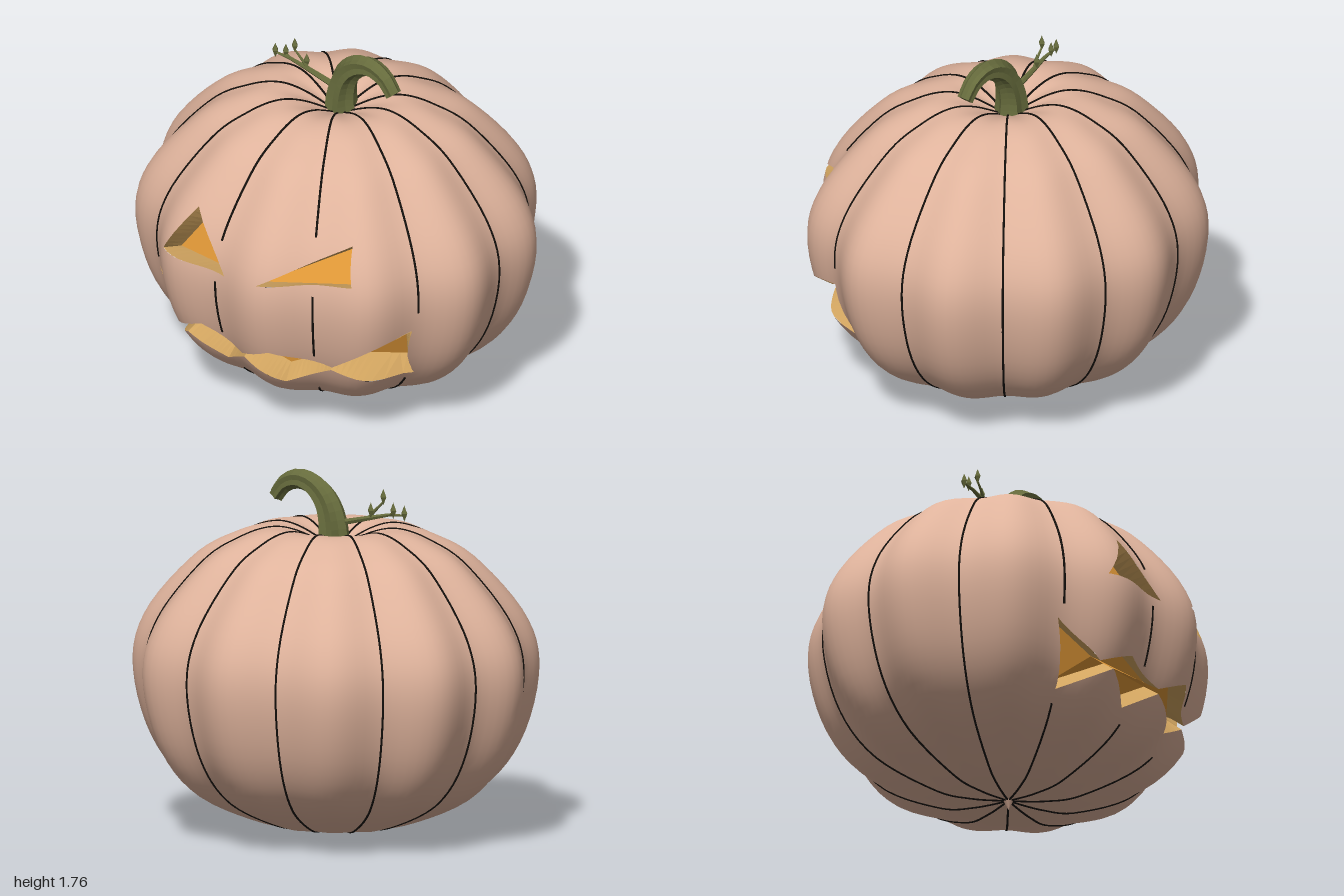
import * as THREE from 'three';

const LOBES = 11, TAU = Math.PI * 2, Z0 = 0.017;
const V = (x, y, z) => new THREE.Vector3(x, y, z);

// Body outline, bottom to top: radius, height
const profile = new THREE.SplineCurve([
  [0.004, 0.05], [0.2, 0.043], [0.4, 0.07], [0.73, 0.22], [0.925, 0.46], [1.01, 0.8], [0.94, 1.06],
  [0.7, 1.335], [0.5, 1.45], [0.34, 1.495], [0.2, 1.475], [0.03, 1.4],
].map(([r, y]) => new THREE.Vector2(r, y)));

// Point on the ribbed skin
function skin(t, a) {
  const p = profile.getPoint(t);
  const r = p.x * (1 - 0.035 * (1 + Math.cos(LOBES * a)));
  return V(r * Math.sin(a), p.y, r * 0.938 * Math.cos(a) + Z0);
}

// Carved openings in front projection
const HOLES = {
  rightEye: [[-0.34, 0.88], [0.06, 0.88], [-0.18, 1.14]],
  leftEye: [[0.28, 0.92], [0.68, 0.96], [0.62, 1.14]],
  mouth: [[-0.415, 0.315], [-0.23, 0.43], [-0.05, 0.315], [0.13, 0.43], [0.305, 0.315], [0.535, 0.44],
    [0.75, 0.36], [0.83, 0.665], [0.545, 0.46], [0.31, 0.535], [0.12, 0.45], [-0.12, 0.53],
    [-0.31, 0.45], [-0.52, 0.63]],
};
const vec2s = pts => pts.map(([x, y]) => new THREE.Vector2(x, y));

function geometry(positions, normals) {
  const g = new THREE.BufferGeometry();
  g.setAttribute('position', new THREE.Float32BufferAttribute(positions, 3));
  if (normals) g.setAttribute('normal', new THREE.Float32BufferAttribute(normals, 3));
  else g.computeVertexNormals();
  return g;
}

// Closed grid of the whole skin
function skinGeometry(rows, cols) {
  const pos = [], index = [];
  for (let i = 0; i <= rows; i++) {
    for (let j = 0; j < cols; j++) pos.push(...skin(i / rows, j / cols * TAU).toArray());
  }
  for (let i = 0; i < rows; i++) {
    for (let j = 0; j < cols; j++) {
      const k = (j + 1) % cols;
      const a = i * cols + j, b = i * cols + k, c = a + cols, d = b + cols;
      index.push(a, b, d, a, d, c);
    }
  }
  const g = new THREE.BufferGeometry();
  g.setAttribute('position', new THREE.Float32BufferAttribute(pos, 3));
  g.setIndex(index);
  g.computeVertexNormals();
  return g;
}

// Keep the part of a polygon on one side of a line
function clip(poly, a, b, sign) {
  const dist = p => sign * ((b.x - a.x) * (p[1] - a.y) - (b.y - a.y) * (p[0] - a.x));
  const out = [];
  poly.forEach((p, i) => {
    const q = poly[(i + 1) % poly.length], dp = dist(p), dq = dist(q);
    if (dp >= 0) out.push(p);
    if ((dp > 0 && dq < 0) || (dp < 0 && dq > 0)) {
      const s = dp / (dp - dq);
      out.push(p.map((v, n) => v + (q[n] - v) * s));
    }
  });
  return out.length > 2 ? out : [];
}

// Remove one triangular cutter from a polygon
function subtract(poly, cutter) {
  const pieces = [];
  let rest = poly;
  for (let i = 0; i < 3 && rest.length; i++) {
    const a = cutter[i], b = cutter[(i + 1) % 3];
    const outside = clip(rest, a, b, -1);
    if (outside.length) pieces.push(outside);
    rest = clip(rest, a, b, 1);
  }
  return rest.length ? pieces : [poly];
}

// Skin with the face cut out
function carve(source) {
  const cutters = Object.values(HOLES).flatMap(h => {
    const pts = vec2s(h);
    return THREE.ShapeUtils.triangulateShape(pts, []).map(f => {
      const tri = f.map(i => pts[i]);
      return THREE.ShapeUtils.area(tri) < 0 ? tri.reverse() : tri;
    });
  });
  const flat = source.toNonIndexed(), P = flat.attributes.position.array, N = flat.attributes.normal.array;
  const pos = [], nor = [];
  for (let i = 0; i < P.length; i += 9) {
    const tri = [0, 3, 6].map(k => [...P.slice(i + k, i + k + 3), ...N.slice(i + k, i + k + 3)]);
    let polys = [tri];
    if (tri.every(p => p[2] > 0)) {
      for (const c of cutters) polys = polys.flatMap(p => subtract(p, c));
    }
    for (const p of polys) {
      for (let k = 1; k < p.length - 1; k++) {
        for (const v of [p[0], p[k], p[k + 1]]) {
          pos.push(v[0], v[1], v[2]);
          nor.push(v[3], v[4], v[5]);
        }
      }
    }
  }
  return geometry(pos, nor);
}

// Curved, tapering stem with sharp ribs
function stemGeometry() {
  const path = new THREE.CatmullRomCurve3([[0, 1.37], [0, 1.5], [0.035, 1.61], [0.11, 1.685], [0.2, 1.71],
    [0.285, 1.68], [0.34, 1.615]].map(([x, y]) => V(x, y, 0)));
  const rings = [], n = 16, sides = 12, pos = [];
  for (let i = 0; i <= n; i++) {
    const c = path.getPointAt(i / n), t = path.getTangentAt(i / n), side = V(t.y, -t.x, 0);
    const r = 0.04 + 0.05 * Math.pow(1 - i / n, 1.3);
    rings.push(Array.from({ length: sides }, (_, j) => {
      const a = j / sides * TAU, q = r * (j % 2 ? 0.78 : 1);
      return c.clone().addScaledVector(side, q * Math.cos(a)).add(V(0, 0, -q * Math.sin(a)));
    }));
  }
  const add = (...p) => p.forEach(v => pos.push(v.x, v.y, v.z));
  for (let j = 0; j < sides; j++) {
    const k = (j + 1) % sides;
    for (let i = 0; i < n; i++) {
      const a = rings[i][j], b = rings[i][k], c = rings[i + 1][j], d = rings[i + 1][k];
      add(a, b, d, a, d, c);
    }
    add(path.getPoint(1), rings[n][j], rings[n][k]);
  }
  return geometry(pos);
}

export function createModel() {
  const model = new THREE.Group();
  const material = (name, color, extra) => Object.assign(new THREE.MeshStandardMaterial({ color, ...extra }), { name });
  const peach = material('peach skin', 0xdfb39c);
  const black = material('black groove', 0x14100c);
  const green = material('stem green', 0x666b3c, { flatShading: true });
  const flesh = material('cut flesh', 0xd2a560, { side: THREE.DoubleSide });
  const glow = material('orange glow', 0xe39a38, { side: THREE.DoubleSide });
  const add = (name, geo, mat, parent = model) => {
    const m = new THREE.Mesh(geo, mat);
    m.name = name;
    parent.add(m);
    return m;
  };

  // Body and the nub beneath it
  const whole = skinGeometry(56, LOBES * 12);
  add('body', carve(whole), peach);
  const nub = add('bottomNub', new THREE.ConeGeometry(0.03, 0.06, 10), peach);
  nub.rotation.x = Math.PI;
  nub.position.set(0, 0.03, Z0);

  // Walls and glowing backs of the openings
  const target = new THREE.Mesh(whole, new THREE.MeshBasicMaterial({ side: THREE.DoubleSide }));
  const ray = new THREE.Raycaster();
  const onSkin = (x, y) => {
    ray.set(V(x, y, 3), V(0, 0, -1));
    const hit = ray.intersectObject(target)[0];
    return hit ? hit.point : V(x, y, 0.2);
  };
  for (const [name, pts] of Object.entries(HOLES)) {
    const inner = pts.map(([x, y]) => {
      const p = onSkin(x, y);
      return p.clone().addScaledVector(V(p.x, (p.y - 0.78) / 0.53, (p.z - Z0) / 0.89).normalize(), -0.1);
    });
    const walls = [], steps = 10;
    pts.forEach(([x, y], i) => {
      const k = (i + 1) % pts.length;
      const at = s => [onSkin(x + (pts[k][0] - x) * s, y + (pts[k][1] - y) * s), inner[i].clone().lerp(inner[k], s)];
      for (let s = 0; s < steps; s++) {
        const [a, c] = at(s / steps), [b, d] = at((s + 1) / steps);
        for (const v of [a, b, d, a, d, c]) walls.push(v.x, v.y, v.z);
      }
    });
    add(name + 'Walls', geometry(walls), flesh);
    const faces = THREE.ShapeUtils.triangulateShape(vec2s(pts), []);
    add(name + 'Glow', geometry(faces.flat().flatMap(i => inner[i].toArray())), glow);
  }

  // Dark groove lines, broken around the face
  const gaps = { 0: [[0.84, 1.02], [0.28, 0.52]], 1: [[0.9, 1.12], [0.27, 0.52]], 2: [[0.33, 0.74]], 10: [[0.28, 0.69]] };
  for (let k = 0; k < LOBES; k++) {
    let run = [];
    const finish = () => {
      if (run.length > 2) {
        add('grooveLine', new THREE.TubeGeometry(new THREE.CatmullRomCurve3(run), run.length, 0.006, 5), black);
      }
      run = [];
    };
    for (let i = 1; i <= 110; i++) {
      const p = skin(i / 110, k / LOBES * TAU);
      if ((gaps[k] || []).some(([lo, hi]) => p.y > lo && p.y < hi)) finish();
      else run.push(p);
    }
    finish();
  }

  // Stem
  add('stem', stemGeometry(), green);

  // Side twig with buds
  const twig = new THREE.Group();
  twig.name = 'twig';
  model.add(twig);
  const rod = (a, b, r0, r1) => {
    const d = b.clone().sub(a);
    const m = add('twigRod', new THREE.CylinderGeometry(r1, r0, d.length(), 6), green, twig);
    m.position.copy(a).addScaledVector(d, 0.5);
    m.quaternion.setFromUnitVectors(V(0, 1, 0), d.normalize());
  };
  const joints = [V(-0.04, 1.52, 0.01), V(-0.19, 1.555, 0.025), V(-0.3, 1.58, 0.04), V(-0.385, 1.585, 0.05)];
  for (let i = 0; i < 3; i++) rod(joints[i], joints[i + 1], 0.017 - i * 0.004, 0.013 - i * 0.004);
  rod(joints[1], V(-0.235, 1.605, 0.035), 0.009, 0.007);
  rod(V(-0.235, 1.605, 0.035), V(-0.27, 1.64, 0.04), 0.007, 0.005);
  rod(joints[2], V(-0.33, 1.59, 0.035), 0.007, 0.005);
  for (const [x, y, z] of [[-0.388, 1.595, 0.05], [-0.333, 1.605, 0.035], [-0.27, 1.665, 0.04], [-0.21, 1.595, 0.02]]) {
    const bud = add('bud', new THREE.OctahedronGeometry(0.04), green, twig);
    bud.scale.set(0.45, 1, 0.45);
    bud.position.set(x, y, z);
  }
  return model;
}
